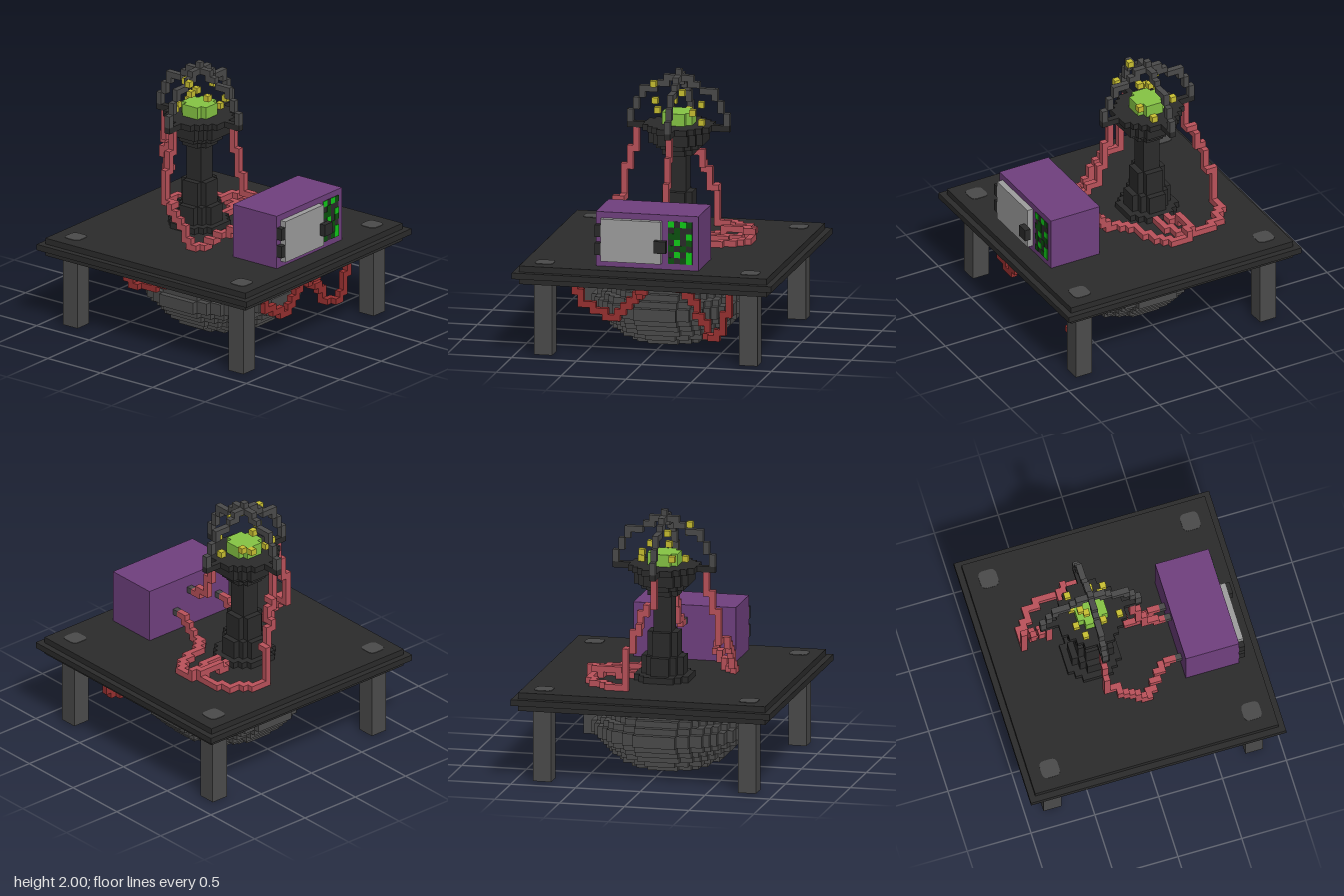
import * as THREE from 'three';

const V = 2 / 43; // edge of one cube
const mat = (name, color) => {
  const m = new THREE.MeshStandardMaterial({ color });
  m.name = name;
  return m;
};

// Cube mesh from grid cells [x, layer, z]; only outer faces are made
const DIRS = [[1, 0, 0], [-1, 0, 0], [0, 1, 0], [0, -1, 0], [0, 0, 1], [0, 0, -1]];
function cubes(cells) {
  const set = new Map(cells.map((c) => [c.join(), c]));
  const pos = [], nor = [];
  for (const c of set.values()) {
    for (const d of DIRS) {
      if (set.has(c.map((v, n) => v + d[n]).join())) continue;
      const n = new THREE.Vector3(...d);
      const u = new THREE.Vector3(d[1], d[2], d[0]);
      const w = new THREE.Vector3().crossVectors(n, u);
      for (const [a, b] of [[-1, -1], [1, -1], [1, 1], [-1, -1], [1, 1], [-1, 1]]) {
        const p = new THREE.Vector3(c[0], c[1] + 0.5, c[2])
          .addScaledVector(n, 0.5).addScaledVector(u, a / 2).addScaledVector(w, b / 2).multiplyScalar(V);
        pos.push(p.x, p.y, p.z);
        nor.push(...d);
      }
    }
  }
  const g = new THREE.BufferGeometry();
  g.setAttribute('position', new THREE.Float32BufferAttribute(pos, 3));
  g.setAttribute('normal', new THREE.Float32BufferAttribute(nor, 3));
  return g;
}

// Round slab of cubes, n cubes out from the centre
function disc(n, layer, cz) {
  const out = [];
  for (let i = -n; i <= n; i++)
    for (let k = -n; k <= n; k++)
      if (i * i + k * k <= (n + 0.5) ** 2) out.push([i, layer, cz + k]);
  return out;
}

// Chain of face-joined cubes through waypoints
function path(points) {
  const out = [points[0]];
  for (let s = 1; s < points.length; s++) {
    const a = points[s - 1], b = points[s], cur = [...a];
    const left = (n) => (b[n] === a[n] ? 0 : Math.abs((b[n] - cur[n]) / (b[n] - a[n])));
    while (cur.join() !== b.join()) {
      const n = [1, 0, 2].reduce((m, q) => (left(q) > left(m) + 1e-6 ? q : m));
      cur[n] += Math.sign(b[n] - a[n]);
      out.push([...cur]);
    }
  }
  return out;
}

export function createModel() {
  const group = new THREE.Group();
  const black = mat('charcoal', 0x2b2b2b), grey = mat('dark grey', 0x4b4b4b);
  const purple = mat('purple', 0x70407f), silver = mat('light grey', 0x9e9e9e);
  const rose = mat('rose', 0xbb525b), red = mat('dark red', 0x983030);
  const yellow = mat('yellow', 0xc9c032), lime = mat('lime', 0x86c544);
  const bright = mat('bright green', 0x10cc18), deep = mat('deep green', 0x0c520f);

  const add = (name, geometry, material) => {
    const m = new THREE.Mesh(geometry, material);
    m.name = name;
    group.add(m);
    return m;
  };
  // Box between inclusive cell ranges
  const box = (name, m, x0, x1, y0, y1, z0, z1) => {
    const g = new THREE.BoxGeometry((x1 - x0 + 1) * V, (y1 - y0 + 1) * V, (z1 - z0 + 1) * V);
    g.translate((x0 + x1) / 2 * V, (y0 + y1 + 1) / 2 * V, (z0 + z1) / 2 * V);
    return add(name, g, m);
  };

  // Table: stepped top, four legs, rounded pads
  box('tableUnderside', black, -20, 20, 12, 12, -20, 20);
  box('tableTop', black, -21, 21, 13, 13, -21, 21);
  box('tableSurface', black, -20, 20, 14, 14, -20, 20);
  const h = 1.5 * V, r = 0.045;
  const padShape = new THREE.Shape();
  padShape.moveTo(h - r, -h).quadraticCurveTo(h, -h, h, r - h);
  padShape.lineTo(h, h - r).quadraticCurveTo(h, h, h - r, h);
  padShape.lineTo(r - h, h).quadraticCurveTo(-h, h, -h, h - r);
  padShape.lineTo(-h, r - h).quadraticCurveTo(-h, -h, r - h, -h);
  const padGeo = new THREE.ExtrudeGeometry(padShape, { depth: 0.004, bevelEnabled: false, curveSegments: 5 });
  padGeo.rotateX(-Math.PI / 2);
  for (const x of [-17, 17]) for (const z of [-17, 17]) {
    box('leg', grey, x - 1, x + 1, 0, 11, z - 1, z + 1);
    add('legPad', padGeo, grey).position.set(x * V, 15 * V, z * V);
  }

  // Rounded tank under the table
  add('tank', cubes([6, 8, 9, 10, 11, 12, 12, 11, 10, 9, 8, 6].flatMap((n, y) => disc(n, y, 0))), grey);

  // Pedestal with flared head and cross arms
  const C = -5;
  const radii = [4, 3, 3, 3, 2, 2, 2, 2, 1, 1, 1, 1, 1, 1, 2, 3, 4, 4, 5];
  const stand = radii.flatMap((n, y) => disc(n, y + 15, C));
  for (let i = -8; i <= 8; i++) stand.push([i, 33, C], [0, 33, C + i]);
  add('pedestal', cubes(stand), black);

  // Dome of two crossing arches: [offset, layer]
  const arch = [[8, 34], [8, 35], [7, 36], [7, 37], [6, 38], [6, 39], [5, 39], [4, 39],
    [3, 40], [2, 40], [2, 41], [1, 41], [0, 41], [0, 42]];
  add('domeFrame', cubes(arch.flatMap(([o, y]) =>
    [[o, y, C], [-o, y, C], [0, y, C + o], [0, y, C - o]])), grey);
  add('glowingCore', cubes([...disc(2, 34, C), ...disc(2, 35, C)]), lime);
  add('sparks', cubes([[-4, 40, -4], [-4, 35, -7], [-3, 38, -1], [-2, 35, -8], [-1, 37, -6],
    [-1, 39, -7], [1, 39, -3], [1, 35, -8], [3, 36, -8], [3, 36, -2], [4, 34, -4]]), yellow);

  // Oven: body, door, hinges, handle, rear ports
  box('ovenBody', purple, -8, 8, 15, 23, 9, 17);
  box('ovenDoor', silver, -7, 2, 16, 22, 18, 18);
  box('upperHinge', black, -8, -8, 20, 21, 18, 18);
  box('lowerHinge', black, -8, -8, 17, 18, 18, 18);
  box('doorHandle', black, 2, 3, 18, 19, 19, 19);
  for (const [x, y] of [[-6, 18], [0, 21], [3, 18]]) box('hosePort', grey, x, x, y, y, 8, 8);

  // Control panel: thin plate with lit cells (G bright, d deep)
  const panel = new THREE.BoxGeometry(4 * V, 7 * V, 0.004);
  add('controlPanel', panel, black).position.set(5.5 * V, 19.5 * V, 17.5 * V + 0.002);
  const cell = new THREE.BoxGeometry(V, V, 0.004);
  ['GkGd', 'kdkk', 'ddkG', 'kGkd', 'dkdk', 'kGkG', 'dkdG'].forEach((row, j) =>
    [...row].forEach((ch, i) => {
      if (ch !== 'k') add('panelLight', cell, ch === 'G' ? bright : deep)
        .position.set((4 + i) * V, (22.5 - j) * V, 17.5 * V + 0.005);
    }));

  // Hoses above the table
  const hose = (name, m, pts) => add(name, cubes(path(pts)), m);
  hose('frontHose', rose, [[0, 21, 7], [0, 21, 6], [0, 22, 5], [0, 22, 4], [0, 25, 4], [0, 25, 3],
    [0, 28, 3], [0, 29, 2], [0, 32, 2]]);
  hose('sideHose', rose, [[-6, 18, 7], [-6, 18, 6], [-6, 17, 5], [-7, 17, 4], [-8, 15, 3], [-9, 15, 2],
    [-10, 15, 1], [-10, 17, 0], [-10, 18, -1], [-10, 20, -3], [-9, 21, -5], [-9, 25, -5],
    [-8, 26, -5], [-8, 28, -5], [-7, 29, -5], [-7, 32, -5]]);
  hose('tableHose', rose, [[3, 18, 7], [3, 18, 6], [3, 17, 5], [3, 15, 4], [3, 15, 2], [4, 15, 1],
    [5, 15, 0], [7, 15, 0], [9, 15, -1], [10, 15, -2], [11, 15, -3], [12, 15, -4], [12, 15, -6],
    [11, 16, -7], [7, 16, -7], [6, 15, -6], [5, 15, -6]]);
  hose('rearHose', rose, [[0, 32, -12], [0, 29, -12], [1, 28, -13], [2, 26, -13], [2, 25, -14],
    [3, 24, -14], [3, 22, -14], [4, 21, -15], [4, 15, -15], [6, 15, -15], [7, 15, -14], [9, 15, -13],
    [10, 15, -11], [11, 15, -10], [11, 15, -7], [10, 15, -5], [9, 15, -5], [8, 15, -4], [5, 15, -4]]);

  // Hoses hanging below the table
  hose('lowerFrontHose', red, [[-12, 11, 17], [-11, 9, 17], [-9, 8, 17], [-7, 7, 17], [-5, 6, 17],
    [-4, 7, 17], [-2, 9, 17], [-1, 10, 18], [-1, 11, 19], [0, 11, 19]]);
  hose('lowerCornerHose', red, [[13, 11, 15], [13, 8, 15], [12, 7, 15], [12, 5, 15], [11, 4, 15],
    [10, 3, 14], [9, 3, 13], [9, 4, 13], [8, 5, 13], [7, 7, 12], [6, 8, 12], [5, 9, 12],
    [4, 11, 12], [4, 10, 11], [4, 10, 8]]);
  hose('lowerSideHose', red, [[-13, 11, -9], [-13, 10, -9], [-15, 10, -8], [-15, 8, -6], [-14, 8, -3],
    [-14, 10, 0], [-11, 10, 2], [-8, 10, 2]]);

  return group;
}
